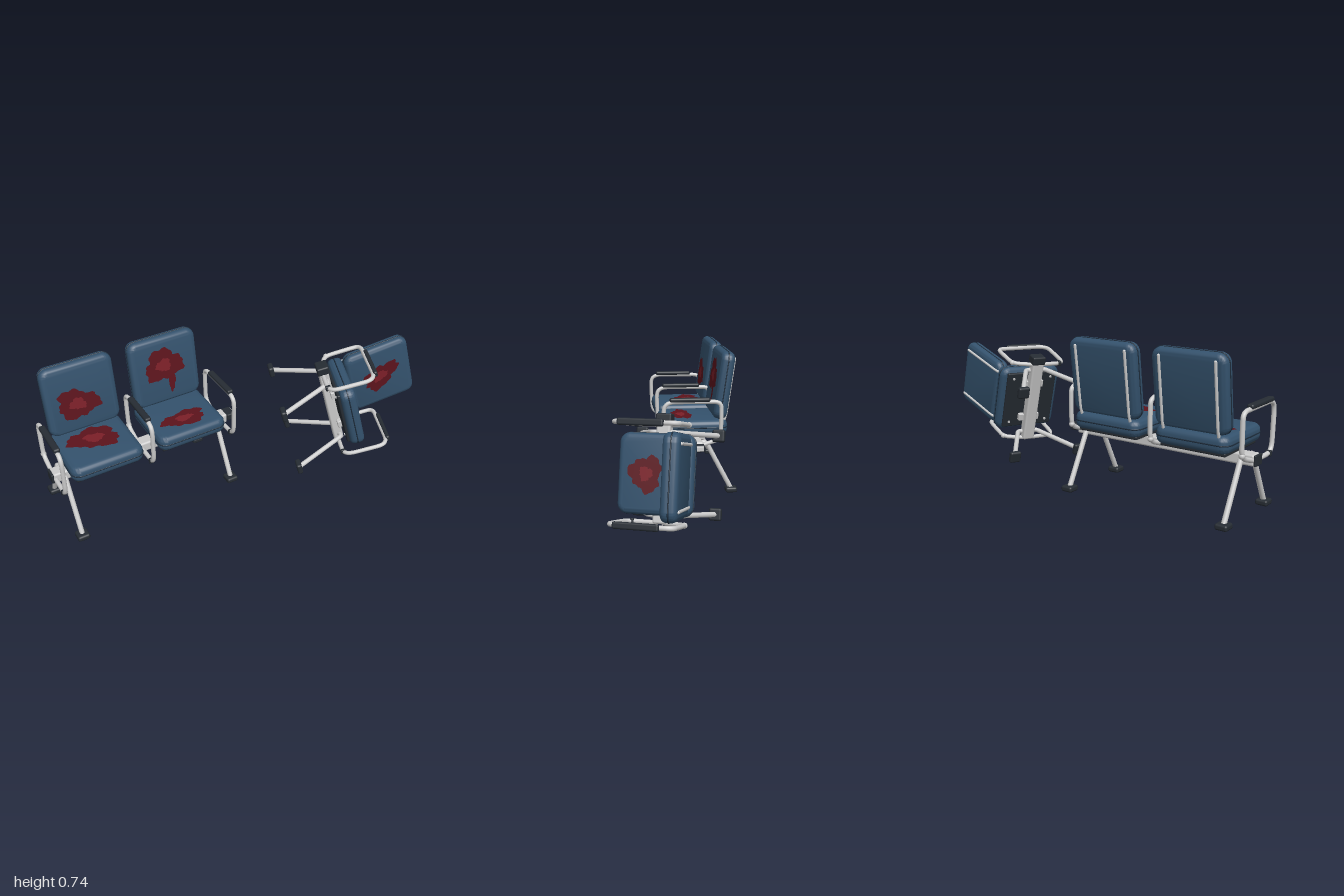
import * as THREE from 'three';
import { toCreasedNormals } from 'three/addons/utils/BufferGeometryUtils.js';
import { RoundedBoxGeometry } from 'three/addons/geometries/RoundedBoxGeometry.js';

const mat = (color) => new THREE.MeshStandardMaterial({ color });
const metal = mat(0xcccccc), blue = mat(0x34526d), dark = mat(0x262c33);
const seamMat = mat(0x1c2b3a), stain = mat(0x5c131c), stainCore = mat(0x7c1f28);
const V = (x, y, z) => new THREE.Vector3(x, y, z);

function add(parent, name, geometry, material, x = 0, y = 0, z = 0) {
  const m = new THREE.Mesh(geometry, material);
  m.name = name;
  m.position.set(x, y, z);
  parent.add(m);
  return m;
}

const box = (w, h, d, r) => new RoundedBoxGeometry(w, h, d, 2, r);

// Round tube with bent corners, running through the given points
function bentTube(pts, r, bend = 0.03) {
  const path = new THREE.CurvePath();
  let last = pts[0];
  for (let i = 1; i < pts.length - 1; i++) {
    const p = pts[i];
    const a = p.clone().add(pts[i - 1].clone().sub(p).setLength(Math.min(bend, p.distanceTo(pts[i - 1]) * 0.45)));
    const b = p.clone().add(pts[i + 1].clone().sub(p).setLength(Math.min(bend, p.distanceTo(pts[i + 1]) * 0.45)));
    path.add(new THREE.LineCurve3(last, a));
    path.add(new THREE.QuadraticBezierCurve3(a, p, b));
    last = b;
  }
  path.add(new THREE.LineCurve3(last, pts[pts.length - 1]));
  return new THREE.TubeGeometry(path, pts.length * 14, r, 12, false);
}

function roundedRect(w, h, r) {
  const s = new THREE.Shape(), x = w / 2, y = h / 2;
  s.absarc(x - r, y - r, r, 0, Math.PI / 2);
  s.absarc(-x + r, y - r, r, Math.PI / 2, Math.PI);
  s.absarc(-x + r, -y + r, r, Math.PI, Math.PI * 1.5);
  s.absarc(x - r, -y + r, r, Math.PI * 1.5, Math.PI * 2);
  return s;
}

function slab(w, h, t, bevel, r) {
  const g = new THREE.ExtrudeGeometry(roundedRect(w, h, r), {
    depth: t - 2 * bevel, bevelEnabled: true, bevelThickness: bevel, bevelSize: bevel,
    bevelOffset: -bevel, bevelSegments: 5, curveSegments: 6,
  });
  g.translate(0, 0, -t / 2 + bevel);
  return toCreasedNormals(g, 0.7);
}

// Ragged flat stain
function splat(rx, ry, seed) {
  const pts = [];
  for (let i = 0; i < 48; i++) {
    const a = (i / 48) * Math.PI * 2;
    const r = 0.87 + 0.12 * Math.sin(3 * a + seed) + 0.06 * Math.sin(7 * a + 2 * seed) + 0.05 * Math.sin(13 * a + 3 * seed);
    pts.push(new THREE.Vector2(rx * r * Math.cos(a), ry * r * Math.sin(a)));
  }
  return new THREE.ShapeGeometry(new THREE.Shape(pts));
}

// Upholstered cushion whose stained face looks along its own +z
function cushion(name, w, h, t, s) {
  const g = new THREE.Group();
  g.name = name;
  add(g, name + 'Cushion', slab(w, h, t, 0.026, 0.045), blue);
  add(g, name + 'Seam', slab(w + 0.005, h + 0.005, 0.006, 0.002, 0.046), seamMat);
  const face = t / 2;
  add(g, 'stain', splat(s.rx, s.ry, s.seed), stain, s.x, s.y, face + 0.0015).rotation.z = s.rot || 0;
  add(g, 'stainCore', splat(s.rx * 0.4, s.ry * 0.4, s.seed + 2), stainCore, s.x, s.y, face + 0.0025).rotation.z = s.rot || 0;
  if (s.drip) add(g, 'stainDrip', splat(0.022, 0.07, 1), stain, s.x + 0.035, s.y - 0.09, face + 0.001);
  return g;
}

function chair(x, backStain, seatStain) {
  const g = new THREE.Group();
  g.name = 'chair';
  g.position.x = x;
  const back = cushion('backrest', 0.36, 0.355, 0.072, backStain);
  back.position.set(0, 0.565, -0.293);
  back.rotation.x = -0.137;
  const seat = cushion('seat', 0.36, 0.345, 0.078, seatStain);
  seat.position.set(0, 0.347, -0.14);
  seat.rotation.x = -Math.PI / 2;
  g.add(back, seat);
  // Dark pan with screws and brackets under the seat
  add(g, 'seatPan', box(0.32, 0.018, 0.29, 0.006), dark, 0, 0.303, -0.14);
  for (const sx of [-1, 1]) {
    add(g, 'seatBracket', box(0.04, 0.03, 0.12, 0.004), metal, sx * 0.1, 0.287, -0.14);
    for (const z of [-0.25, -0.03]) {
      add(g, 'panScrew', new THREE.CylinderGeometry(0.007, 0.007, 0.005, 10), metal, sx * 0.13, 0.292, z);
    }
    // Rods that carry the backrest
    add(g, 'backRod', bentTube([V(sx * 0.135, 0.705, -0.35), V(sx * 0.135, 0.4, -0.307), V(sx * 0.135, 0.31, -0.27)], 0.007), metal);
    add(g, 'rodEnd', new THREE.SphereGeometry(0.007, 10, 8), metal, sx * 0.135, 0.705, -0.35);
  }
  return g;
}

function armrest(x) {
  const g = new THREE.Group();
  g.name = 'armrest';
  g.position.x = x;
  add(g, 'armTube', bentTube([
    V(0, 0.26, -0.15), V(0, 0.298, -0.267), V(0, 0.425, -0.27), V(0, 0.495, -0.268),
    V(0, 0.497, 0.0), V(0, 0.47, 0.032), V(0, 0.29, 0.025), V(0, 0.26, 0.0), V(0, 0.26, -0.13),
  ], 0.011, 0.04), metal);
  add(g, 'armPad', box(0.032, 0.022, 0.21, 0.009), dark, 0, 0.507, -0.105);
  add(g, 'armSleeve', box(0.027, 0.027, 0.018, 0.005), dark, 0, 0.262, -0.005);
  add(g, 'armJoint', new THREE.SphereGeometry(0.014, 12, 8), metal, 0, 0.308, -0.265);
  return g;
}

// Pair of splayed legs with square feet
function legPair(x) {
  const g = new THREE.Group();
  g.name = 'legPair';
  g.position.x = x;
  for (const s of [-1, 1]) {
    add(g, 'leg', bentTube([V(0, 0.27, -0.14), V(0, 0.275, -0.14 + s * 0.055), V(0, 0.02, -0.14 + s * 0.19)], 0.0125, 0.015), metal);
    add(g, 'foot', box(0.06, 0.028, 0.061, 0.01), dark, 0, 0.014, -0.14 + s * 0.191);
  }
  return g;
}

function bench({ chairs, legs, arms, from, to }) {
  const g = new THREE.Group();
  for (const c of chairs) g.add(chair(...c));
  for (const x of legs) g.add(legPair(x));
  for (const x of arms) g.add(armrest(x));
  add(g, 'beam', box(to - from, 0.052, 0.066, 0.01), metal, (from + to) / 2, 0.265, -0.14);
  return g;
}

export function createModel() {
  const root = new THREE.Group();
  root.name = 'waitingRoomBenches';

  // Standing two-seat bench
  const standing = bench({
    chairs: [
      [-0.754, { x: -0.025, y: -0.03, rx: 0.12, ry: 0.085, seed: 1, rot: -0.25 }, { x: 0, y: 0.02, rx: 0.14, ry: 0.09, seed: 4, rot: -0.25 }],
      [-0.31, { x: -0.01, y: 0.03, rx: 0.115, ry: 0.095, seed: 2.5, drip: true }, { x: 0, y: -0.06, rx: 0.13, ry: 0.065, seed: 5.2 }],
    ],
    legs: [-0.942, -0.125], arms: [-0.98, -0.532, -0.088], from: -0.99, to: -0.05,
  });
  standing.name = 'standingBench';
  add(standing, 'beamCap', box(0.012, 0.05, 0.062, 0.004), dark, -0.994, 0.265, -0.14);
  add(standing, 'beamSleeve', box(0.045, 0.036, 0.068, 0.006), dark, -0.026, 0.267, -0.14);
  add(standing, 'beamStub', box(0.04, 0.028, 0.058, 0.005), metal, -0.02, 0.267, -0.14);
  root.add(standing);

  // Overturned single seat, lying on its side
  const fallen = bench({
    chairs: [[0, { x: 0, y: 0, rx: 0.075, ry: 0.12, seed: 3.3, rot: 0.5 }, { x: 0, y: -0.04, rx: 0.09, ry: 0.085, seed: 0.6 }]],
    legs: [-0.186, 0.186], arms: [-0.222, 0.222], from: -0.25, to: 0.225,
  });
  fallen.name = 'fallenBench';
  add(fallen, 'beamCap', box(0.045, 0.062, 0.074, 0.008), dark, -0.25, 0.265, -0.14);
  const u = V(0.243, -0.967, 0.07).normalize();
  const v = V(-0.386, -0.025, 0.922).cross(u).normalize();
  const w = u.clone().cross(v);
  fallen.quaternion.setFromRotationMatrix(new THREE.Matrix4().makeBasis(u, v, w));
  fallen.position.set(0.18, 0.208, 0.113);
  root.add(fallen);
  return root;
}
